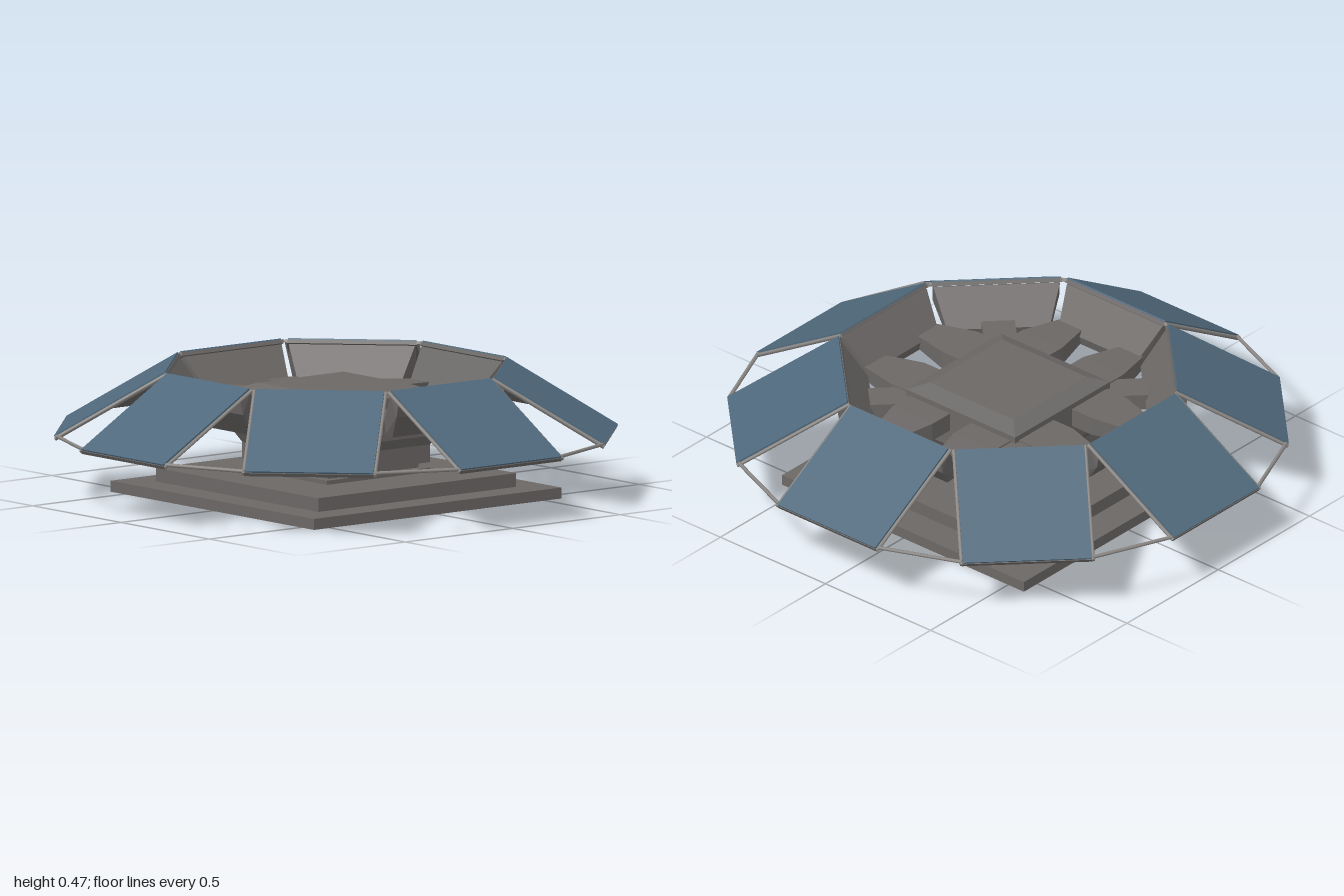
import * as THREE from 'three';
import { ConvexGeometry } from 'three/addons/geometries/ConvexGeometry.js';

export function createModel() {
  const grey = new THREE.MeshStandardMaterial({ color: 0x6b6866 });
  grey.name = 'hull grey';
  const blue = new THREE.MeshStandardMaterial({ color: 0x50697c });
  blue.name = 'panel blue';
  const light = new THREE.MeshStandardMaterial({ color: 0x8c8986 });
  light.name = 'rod grey';

  const model = new THREE.Group();
  model.name = 'solarPlatform';

  function add(parent, name, geometry, material) {
    const mesh = new THREE.Mesh(geometry, material);
    mesh.name = name;
    parent.add(mesh);
    return mesh;
  }

  // Square slab given its half width and height range
  function slab(name, half, y0, y1) {
    add(model, name, new THREE.BoxGeometry(half * 2, y1 - y0, half * 2), grey)
      .position.y = (y0 + y1) / 2;
  }

  // Faceted solid, mirrored in x, from [halfWidth, y, z] points
  const mirrored = (points) => new ConvexGeometry(points.flatMap(([w, y, z]) =>
    [new THREE.Vector3(w, y, z), new THREE.Vector3(-w, y, z)]));

  function rod(parent, name, a, b, radius) {
    const dir = b.clone().sub(a);
    const mesh = add(parent, name, new THREE.CylinderGeometry(radius, radius, dir.length(), 6), light);
    mesh.position.copy(a).add(b).multiplyScalar(0.5);
    mesh.quaternion.setFromUnitVectors(new THREE.Vector3(0, 1, 0), dir.normalize());
  }

  // Stepped base and pedestal
  slab('basePlate', 0.575, 0, 0.04);
  slab('baseStep', 0.46, 0.04, 0.09);
  slab('pedestalFoot', 0.24, 0.09, 0.105);
  slab('pedestalNeck', 0.21, 0.105, 0.125);
  slab('pedestal', 0.24, 0.125, 0.19);

  // Central block with bevelled top and bottom
  const levels = [[0.24, 0.19], [0.26, 0.225], [0.26, 0.38], [0.2, 0.405]];
  add(model, 'centralBlock', mirrored(levels.flatMap(([h, y]) => [[h, y, h], [h, y, -h]])), grey);

  // Two tapered arms on each block face
  for (let i = 0; i < 4; i++) {
    const face = new THREE.Group();
    face.name = 'armPair';
    face.rotation.y = i * Math.PI / 2;
    for (const s of [-1, 1]) {
      const root = add(face, 'armRoot', new THREE.BoxGeometry(0.19, 0.07, 0.11), grey);
      root.position.set(s * 0.145, 0.325, 0.3);
      const tip = add(face, 'armTip', mirrored([
        [0.095, 0.29, 0.355], [0.095, 0.36, 0.355], [0.055, 0.3, 0.51], [0.055, 0.35, 0.51],
      ]), grey);
      tip.position.x = s * 0.145;
    }
    model.add(face);
  }

  // Eight sloping panels with their supports
  const inner = { r: 0.59, y: 0.472 }, outer = { r: 0.995, y: 0.232 };
  const half = 0.235;
  const length = Math.hypot(outer.r - inner.r, outer.y - inner.y);
  const tilt = Math.atan2(inner.y - outer.y, outer.r - inner.r);
  for (let i = 0; i < 8; i++) {
    const sector = new THREE.Group();
    sector.name = 'panelSector';
    sector.rotation.y = i * Math.PI / 4;
    model.add(sector);

    const panel = new THREE.Group();
    panel.name = 'panel';
    panel.position.set(0, (inner.y + outer.y) / 2, (inner.r + outer.r) / 2);
    panel.rotation.x = tilt;
    sector.add(panel);
    add(panel, 'panelBacking', new THREE.BoxGeometry(half * 2, 0.014, length), grey)
      .position.y = -0.008;
    add(panel, 'panelFace', new THREE.BoxGeometry(half * 2 - 0.006, 0.006, length - 0.006), blue)
      .position.y = 0.002;

    // Edge rods of the panel
    for (const s of [-1, 1]) {
      rod(panel, 'edgeRod', new THREE.Vector3(s * 0.237, -0.006, -length / 2),
        new THREE.Vector3(s * 0.237, -0.006, length / 2), 0.007);
    }

    // Wedge behind the panel's upper edge
    add(sector, 'support', mirrored([
      [0.228, 0.455, 0.585], [0.228, 0.43, 0.63], [0.228, 0.38, 0.62],
      [0.185, 0.33, 0.49], [0.185, 0.295, 0.5], [0.19, 0.295, 0.55],
    ]), grey);

    // Stub joining the block's corner to a diagonal support
    if (i % 2) {
      add(sector, 'cornerArm', new THREE.BoxGeometry(0.12, 0.06, 0.18), grey)
        .position.set(0, 0.325, 0.41);
    }

    // Link to the next panel's outer corner
    const turn = new THREE.Vector3(0, 1, 0);
    rod(sector, 'linkRod', new THREE.Vector3(half, 0.236, 0.985),
      new THREE.Vector3(-half, 0.236, 0.985).applyAxisAngle(turn, Math.PI / 4), 0.007);
  }
  return model;
}
